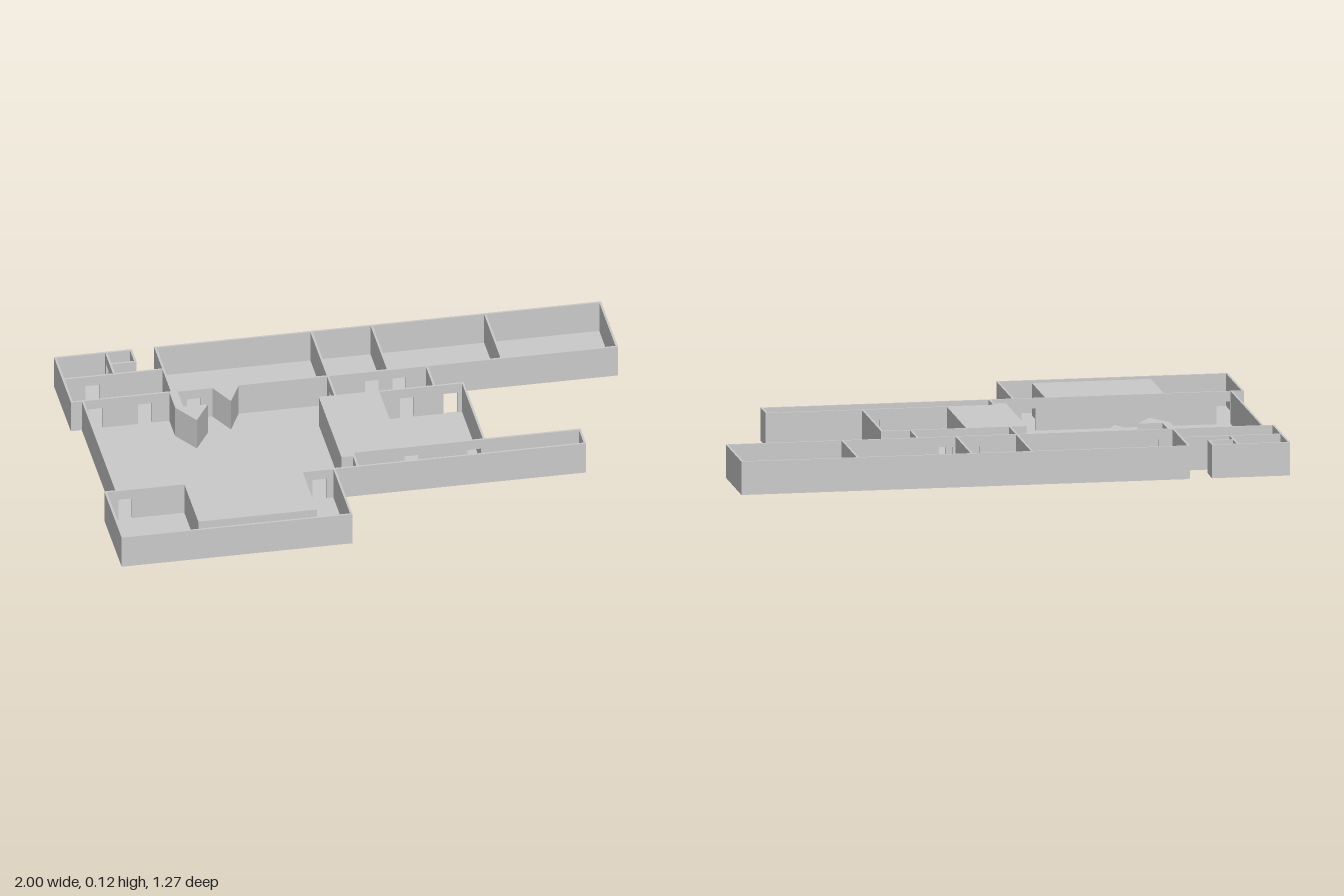
import * as THREE from 'three';

const H = 0.122;       // wall height
const T = 0.008;       // wall thickness
const FLOOR = 0.003;   // floor slab thickness
const DOOR_W = 0.05, DOOR_H = 0.085;

const material = new THREE.MeshStandardMaterial({ color: 0xcccccc, flatShading: true });

export function createModel() {
  const model = new THREE.Group();

  const add = (geometry, name) => {
    const mesh = new THREE.Mesh(geometry, material);
    mesh.name = name;
    model.add(mesh);
    return mesh;
  };

  // Plan outline of [x, z] corners raised from y0 to y1
  const prism = (name, points, y0, y1) => {
    const shape = new THREE.Shape(points.map(([x, z]) => new THREE.Vector2(x, z)));
    const g = new THREE.ExtrudeGeometry(shape, { depth: y1 - y0, bevelEnabled: false });
    g.rotateX(Math.PI / 2);
    g.translate(0, y1, 0);
    return add(g, name);
  };

  const rect = (x0, z0, x1, z1) => [[x0, z0], [x1, z0], [x1, z1], [x0, z1]];

  // Straight wall along x or z; doors are centre positions on that axis
  const wall = (name, axis, at, from, to, doors = []) => {
    const s = new THREE.Shape();
    s.moveTo(from, FLOOR / 2);
    for (const d of [...doors].sort((a, b) => a - b)) {
      s.lineTo(d - DOOR_W / 2, FLOOR / 2);
      s.lineTo(d - DOOR_W / 2, DOOR_H);
      s.lineTo(d + DOOR_W / 2, DOOR_H);
      s.lineTo(d + DOOR_W / 2, FLOOR / 2);
    }
    s.lineTo(to, FLOOR / 2);
    s.lineTo(to, H);
    s.lineTo(from, H);
    s.closePath();
    const g = new THREE.ExtrudeGeometry(s, { depth: T, bevelEnabled: false });
    g.translate(0, 0, -T / 2);
    if (axis === 'z') g.rotateY(-Math.PI / 2);
    g.translate(axis === 'z' ? at : 0, 0, axis === 'z' ? 0 : at);
    return add(g, name);
  };

  // Floors
  const floors = {
    cornerRoomFloor: rect(-1, -0.635, -0.81, -0.48),
    closetFloor: rect(-0.81, -0.635, -0.715, -0.55),
    lobbyFloor: rect(-1, -0.48, -0.63, -0.32),
    backWingFloor: rect(-0.63, -0.635, 1, -0.32),
    hallFloor: rect(-0.96, -0.32, -0.06, 0.315),
    passageFloor: rect(-0.06, -0.32, 0.305, -0.18),
    sideRoomFloor: rect(-0.06, -0.18, 0.41, 0.21),
    corridorFloor: rect(-0.06, 0.21, 0.76, 0.315),
    // U-shaped floor around the open-bottomed core
    frontRoomFloor: [[-1, 0.315], [-0.705, 0.315], [-0.705, 0.572], [-0.28, 0.572],
      [-0.28, 0.315], [-0.156, 0.315], [-0.156, 0.632], [-1, 0.632]],
  };
  for (const [name, outline] of Object.entries(floors)) prism(name, outline, 0, FLOOR);

  // Back wing: long range of four rooms
  wall('backWingRearWall', 'x', -0.631, -0.634, 1);
  wall('backWingFrontWall', 'x', -0.32, -0.634, 1, [-0.55, 0.1, 0.2]);
  wall('backWingEndWall', 'z', 0.996, -0.635, -0.316);
  for (const x of [-0.63, -0.06, 0.16, 0.575]) wall('backWingDivider', 'z', x, -0.635, -0.316);

  // Small rooms at the back corner
  wall('cornerRoomRearWall', 'x', -0.631, -1, -0.715);
  wall('cornerRoomOuterWall', 'z', -0.996, -0.635, -0.316);
  wall('cornerRoomInnerWall', 'z', -0.81, -0.635, -0.476, [-0.59]);
  wall('closetEndWall', 'z', -0.719, -0.635, -0.546);
  wall('closetFrontWall', 'x', -0.55, -0.81, -0.715);
  wall('lobbyRearWall', 'x', -0.48, -1, -0.63, [-0.89]);
  wall('lobbyFrontWall', 'x', -0.32, -1, -0.634, [-0.91, -0.73]);

  // Hall and passage
  wall('hallSideWall', 'z', -0.956, -0.32, 0.311);
  wall('hallPassageWall', 'z', -0.06, -0.32, -0.176, [-0.245]);
  wall('passageEndWall', 'z', 0.301, -0.32, -0.176);

  // Side room
  wall('sideRoomRearWall', 'x', -0.18, -0.116, 0.41, [0.2, 0.36]);
  wall('sideRoomOuterWall', 'z', 0.406, -0.184, 0.214);

  // Corridor
  wall('corridorRearWall', 'x', 0.214, -0.07, 0.76, [0.14, 0.37]);
  wall('corridorFrontWall', 'x', 0.311, -0.156, 0.76);
  wall('corridorEndWall', 'z', 0.756, 0.21, 0.315);
  wall('corridorEntranceWall', 'z', -0.074, 0.21, 0.315, [0.275]);

  // Front room wrapped round its core
  wall('frontRoomRearWall', 'x', 0.311, -1, -0.156, [-0.925, -0.215]);
  wall('frontRoomFrontWall', 'x', 0.628, -1, -0.156);
  for (const x of [-0.996, -0.16]) wall('frontRoomSideWall', 'z', x, 0.307, 0.632);
  wall('coreFrontWall', 'x', 0.572, -0.709, -0.276);
  for (const x of [-0.705, -0.28]) wall('coreSideWall', 'z', x, 0.311, 0.576);
  prism('coreRoof', rect(-0.705, 0.311, -0.28, 0.572), H - FLOOR, H);

  // Closed full-height blocks standing on the floor
  prism('serviceBlock', [[-0.12, -0.182], [0.1, -0.182], [0.1, 0.213], [-0.075, 0.213],
    [-0.075, 0.24], [-0.12, 0.24]], FLOOR / 2, H);
  prism('arrowPillar', [[-0.64, -0.32], [-0.61, -0.32], [-0.61, -0.21], [-0.52, -0.21],
    [-0.58, -0.11], [-0.64, -0.21]], FLOOR / 2, H);
  prism('trianglePillar', [[-0.485, -0.32], [-0.385, -0.32], [-0.435, -0.215]], FLOOR / 2, H);

  return model;
}
